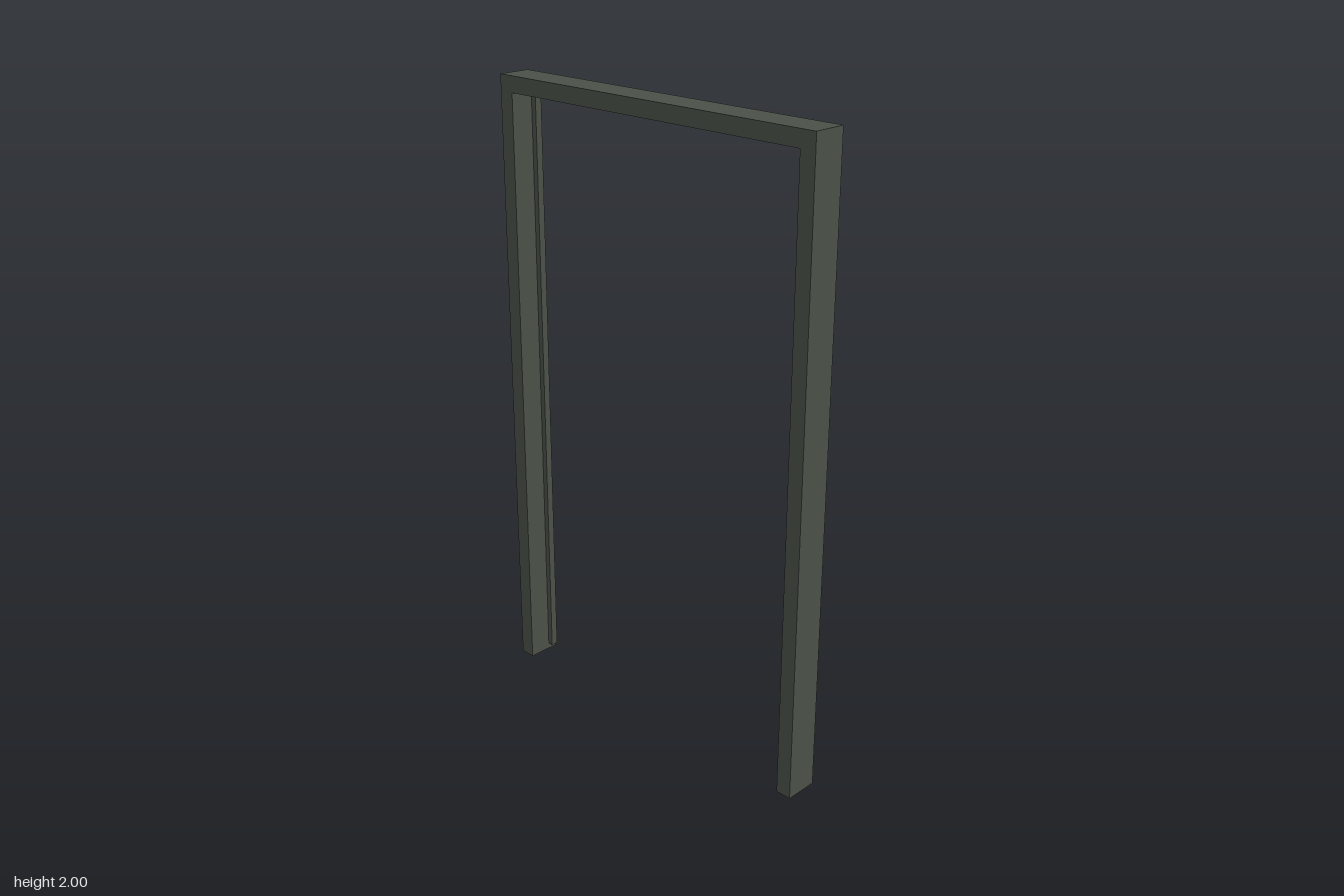
import * as THREE from 'three';

export function createModel() {
  const model = new THREE.Group();
  model.name = 'doorFrame';
  const paint = new THREE.MeshStandardMaterial({ color: 0x4a5148 });
  paint.name = 'dark grey green';

  // Box given by its minimum and maximum corners
  const addBox = (name, [x0, y0, z0], [x1, y1, z1]) => {
    const mesh = new THREE.Mesh(new THREE.BoxGeometry(x1 - x0, y1 - y0, z1 - z0), paint);
    mesh.name = name;
    mesh.position.set((x0 + x1) / 2, (y0 + y1) / 2, (z0 + z1) / 2);
    model.add(mesh);
  };

  const halfWidth = 0.608, inner = 0.557, halfDepth = 0.054, beamBottom = 1.949;

  // Lintel across the top
  addBox('lintel', [-halfWidth, beamBottom, -halfDepth], [halfWidth, 2, halfDepth]);

  // Side posts, each with a slim stop strip near the back of its inner face
  for (const [side, s] of [['left', 1], ['right', -1]]) {
    const span = (a, b) => [Math.min(a * s, b * s), Math.max(a * s, b * s)];
    const [p0, p1] = span(inner, halfWidth);
    addBox(`${side}Post`, [p0, 0, -halfDepth], [p1, beamBottom, halfDepth]);
    const [t0, t1] = span(0.539, inner);
    addBox(`${side}StopStrip`, [t0, 0.02, -0.045], [t1, 1.93, -0.022]);
  }
  return model;
}
